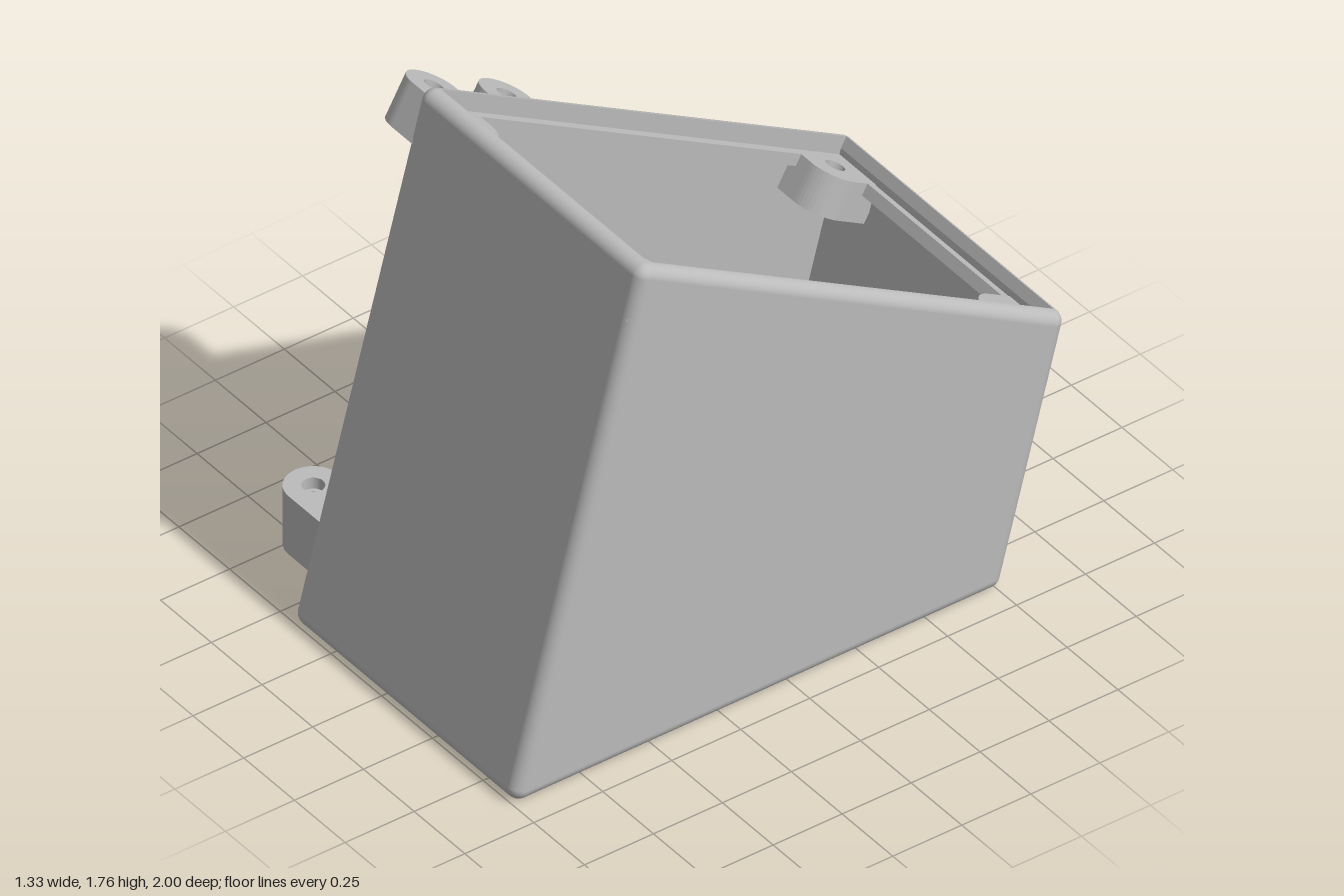
import * as THREE from 'three';

const R = 0.04;                 // edge rounding, also wall thickness
const HALF = 0.55 - R;          // half width inside the rounded edges
const RAD = Math.PI / 180;
// side outline as four planes: normal angle in (z, y) and distance
const PLANES = [[-90, 0], [15, 0.978], [120, 1.277], [195, 0.74]].map(([a, d]) => [a * RAD, d]);

// rounding centres: bottom front, top front, top back, bottom back
const CORNERS = PLANES.map(([a, da], i) => {
  let [b, db] = PLANES[(i + 1) % 4];
  if (b < a) b += 2 * Math.PI;
  da -= R; db -= R;
  const det = Math.sin(b - a);
  return {
    a, b,
    z: (da * Math.sin(b) - db * Math.sin(a)) / det,
    y: (db * Math.cos(a) - da * Math.cos(b)) / det,
  };
});

function meshFrom(pos, idx, nor) {
  const g = new THREE.BufferGeometry();
  g.setAttribute('position', new THREE.Float32BufferAttribute(pos, 3));
  g.setIndex(idx);
  if (nor) g.setAttribute('normal', new THREE.Float32BufferAttribute(nor, 3));
  else g.computeVertexNormals();
  return g;
}

// outer skin with rounded edges, open at the sloped top, the base and the flat sides
function skinGeometry() {
  const K = 8, N = 4 * (K + 1), pos = [], nor = [], idx = [], rings = [];
  for (let k = 0; k <= K; k++) rings.push([-1, 90 - (90 * k) / K]);
  for (let k = 0; k <= K; k++) rings.push([1, (90 * k) / K]);
  rings.forEach(([s, deg], r) => {
    const sx = s * Math.sin(deg * RAD), c = Math.cos(deg * RAD);
    CORNERS.forEach((q) => {
      for (let k = 0; k <= K; k++) {
        const t = q.a + ((q.b - q.a) * k) / K;
        const n = [sx, c * Math.sin(t), c * Math.cos(t)];
        pos.push(s * HALF + R * n[0], q.y + R * n[1], q.z + R * n[2]);
        nor.push(...n);
      }
    });
    if (r === rings.length - 1) return;
    for (let j = 0; j < N; j++) {
      const open = j === 2 * K + 1 || j === N - 1;   // top and base flats
      if (r === K && open) continue;
      const a = r * N + j, b = r * N + ((j + 1) % N);
      idx.push(a, a + N, b + N, a, b + N, b);
    }
  });
  return meshFrom(pos, idx, nor);
}

// inner faces of the front and back walls and the strip around the opening
function liningGeometry() {
  const [bf, tf, tb, bb] = CORNERS;
  const lift = (q) => ({ z: q.z - R * 0.5, y: q.y + R * Math.cos(30 * RAD) });
  const pos = [], idx = [];
  const quad = (...p) => {
    const o = pos.length / 3;
    p.forEach(([x, q]) => pos.push(x, q.y, q.z));
    idx.push(o, o + 1, o + 2, o, o + 2, o + 3);
  };
  const H = HALF;
  quad([H, bf], [-H, bf], [-H, tf], [H, tf]);
  quad([H, tf], [-H, tf], [-H, lift(tf)], [H, lift(tf)]);
  quad([-H, bb], [H, bb], [H, tb], [-H, tb]);
  quad([-H, tb], [H, tb], [H, lift(tb)], [-H, lift(tb)]);
  quad([H, tb], [H, tf], [H, lift(tf)], [H, lift(tb)]);
  quad([-H, tf], [-H, tb], [-H, lift(tb)], [-H, lift(tf)]);
  return meshFrom(pos, idx);
}

const poly = (pts) => new THREE.Shape(pts.map(([x, y]) => new THREE.Vector2(x, y)));
const rect = (x0, x1, y0, y1) => poly([[x0, y0], [x1, y0], [x1, y1], [x0, y1]]);
function drill(shape, x, y, r) {
  shape.holes.push(new THREE.Path().absarc(x, y, r, 0, 2 * Math.PI, true));
  return shape;
}
// plate drawn in (x, z), reaching down from height top
function slab(shape, top, h) {
  return new THREE.ExtrudeGeometry(shape, { depth: h, bevelEnabled: false, curveSegments: 32 })
    .rotateX(Math.PI / 2).translate(0, top, 0);
}
// ear around the origin, rounded towards -x
function earShape(hole) {
  const s = new THREE.Shape();
  s.moveTo(0.165, 0.09);
  s.lineTo(0, 0.09);
  s.absarc(0, 0, 0.09, Math.PI / 2, 1.5 * Math.PI, false);
  s.lineTo(0.165, -0.09);
  s.closePath();
  return drill(s, 0, 0, hole);
}

export function createModel() {
  const model = new THREE.Group();
  model.name = 'slopedEnclosure';
  const grey = new THREE.MeshStandardMaterial({ color: 0xbcbcbc, side: THREE.DoubleSide });
  grey.name = 'lightGrey';
  const add = (parent, name, geometry, x = 0, y = 0, z = 0) => {
    const m = new THREE.Mesh(geometry, grey);
    m.name = name;
    m.position.set(x, y, z);
    parent.add(m);
    return m;
  };

  const body = new THREE.Group();
  body.name = 'body';
  body.position.x = 0.11;
  model.add(body);
  add(body, 'outerSkin', skinGeometry());
  add(body, 'innerLining', liningGeometry());

  // side walls, the right one with a small cable slot
  for (const side of [1, -1]) {
    const s = poly(CORNERS.map((q) => [q.z, q.y]));
    if (side < 0) s.holes.push(rect(0.43, 0.51, 0.505, 0.585));
    const g = new THREE.ExtrudeGeometry(s, { depth: R, bevelEnabled: false })
      .rotateY(-Math.PI / 2).translate(side > 0 ? HALF + R : -HALF, 0, 0);
    add(body, side > 0 ? 'leftWall' : 'rightWall', g);
  }

  // floor with a large round opening, pin holes and posts around it
  const holeZ = 0.115, holeR = 0.4, d = 0.435, postR = 0.07;
  const floor = drill(rect(-HALF, HALF, CORNERS[3].z, CORNERS[0].z), 0, holeZ, holeR);
  const alpha = Math.PI - Math.acos((d * d + postR ** 2 - holeR ** 2) / (2 * d * postR));
  const beta = Math.acos((d * d + holeR ** 2 - postR ** 2) / (2 * d * holeR));
  for (let i = 0; i < 4; i++) {
    const t = (45 + 90 * i) * RAD;
    drill(floor, (d + 0.005) * Math.cos(t), holeZ + (d + 0.005) * Math.sin(t), 0.015);
    const s = new THREE.Shape();
    s.absarc(d, 0, postR, -alpha, alpha, false);
    s.absarc(0, 0, holeR, beta, -beta, true);
    add(body, 'floorPost', slab(s, 0.21, 0.16), 0, 0, holeZ).rotation.y = t;
  }
  add(body, 'floor', slab(floor, 0.05, 0.05));

  // frame lying on the sloped opening: y is its normal, z runs up the slope
  const top = new THREE.Group();
  top.name = 'slopedTop';
  const T = PLANES[2][1];
  top.position.set(0, T * Math.cos(30 * RAD), -T * 0.5);
  top.rotation.x = -30 * RAD;
  body.add(top);
  const along = (q) => q.y * 0.5 + q.z * Math.cos(30 * RAD);
  const uF = along(CORNERS[1]), uB = along(CORNERS[2]);

  // ledge that carries the lid
  const ledge = rect(-HALF - 0.01, HALF + 0.01, uB, uF);
  ledge.holes.push(rect(-HALF + 0.03, HALF - 0.03, uB + 0.03, uF - 0.03));
  add(top, 'lidLedge', slab(ledge, -0.06, 0.04));

  // screw bosses in the four corners
  for (const sx of [-1, 1]) for (const sz of [-1, 1]) {
    const end = sz > 0 ? 0.075 : 0.11;
    const pts = [[-0.1, -end], [0.1, -end]];
    for (let k = 0; k <= 12; k++) {
      const t = (k / 12) * Math.PI / 2;
      pts.push([0.1 * Math.cos(t), 0.1 * Math.sin(t)]);
    }
    pts.push([-0.1, 0.1]);
    const s = drill(poly(pts.map(([x, z]) => [-sx * x, -sz * z])), 0, 0, 0.032);
    add(top, 'screwBoss', slab(s, -0.06, 0.13), sx * 0.43, 0, sz > 0 ? uF - 0.075 : uB + 0.08);
  }

  // upper ears, square to the slope
  for (const u of [1.145, 0.84]) add(top, 'upperEar', slab(earShape(0.032), -0.07, 0.15), -0.685, 0, u);

  // lower ears, upright, with a stepped hole
  for (const z of [-0.715, 0.825]) {
    const ear = new THREE.Group();
    ear.name = 'lowerEar';
    ear.position.set(-0.685, 0, z);
    body.add(ear);
    [[0.34, 0.04, 0.035], [0.3, 0.05, 0.02], [0.25, 0.125, 0.045]].forEach(([y, h, r]) =>
      add(ear, 'earSection', slab(earShape(r), y, h)));
  }
  return model;
}
